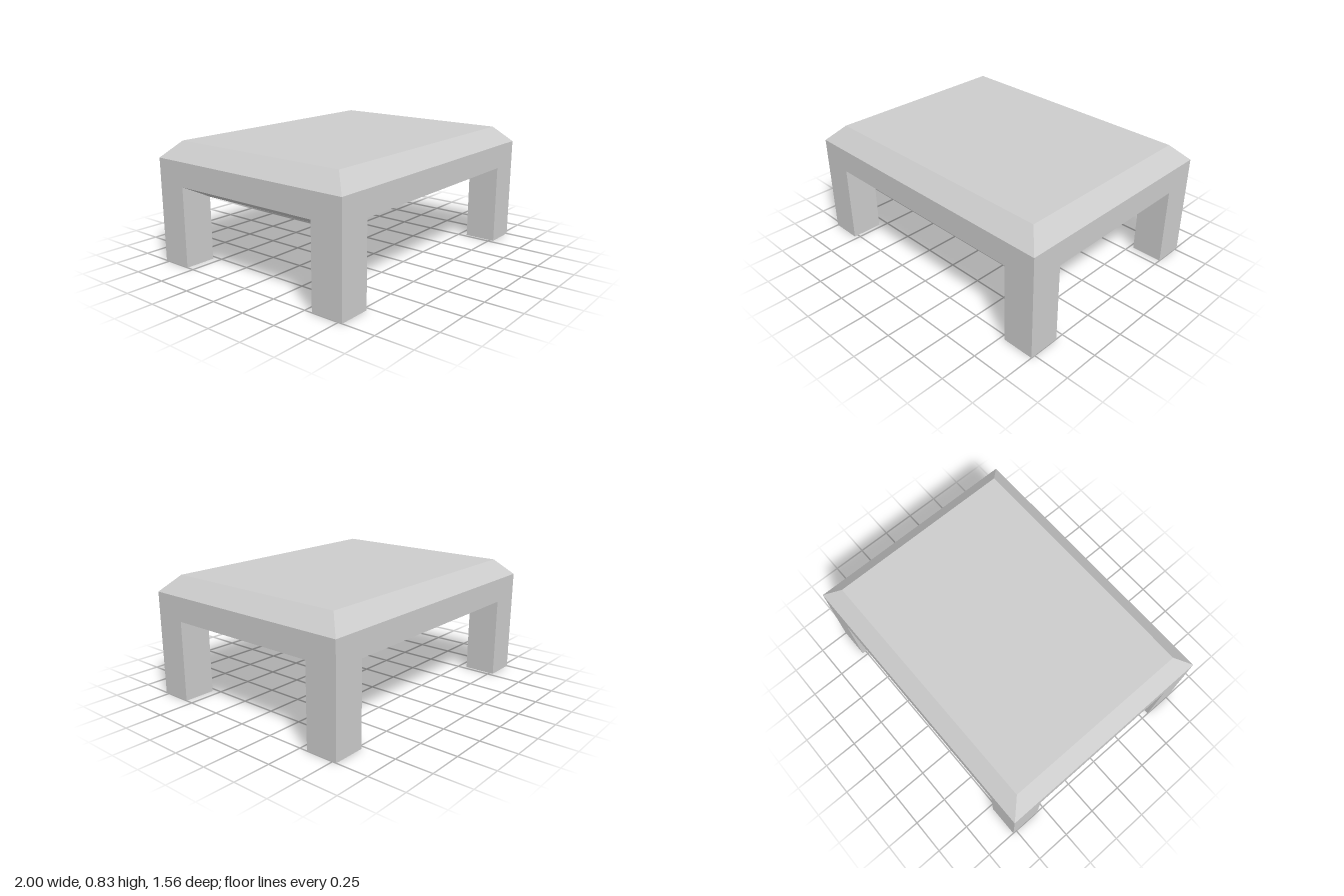
import * as THREE from 'three';

const UNIT = 1 / 9; // every measure is a multiple of this
const grey = new THREE.MeshStandardMaterial({ color: 0xcccccc, side: THREE.DoubleSide });
grey.name = 'plain grey';

// Flat-shaded mesh from four-cornered faces, corners counterclockwise from outside
function quadMesh(name, quads) {
  const points = quads.flatMap(([a, b, c, d]) => [a, b, c, a, c, d]).flat();
  const geometry = new THREE.BufferGeometry();
  geometry.setAttribute('position', new THREE.Float32BufferAttribute(points.map((v) => v * UNIT), 3));
  geometry.computeVertexNormals();
  const mesh = new THREE.Mesh(geometry, grey);
  mesh.name = name;
  return mesh;
}

// Rectangle at height y, corners counterclockwise seen from above
const ring = (x, z, y) => [[-x, y, z], [x, y, z], [x, y, -z], [-x, y, -z]];

// Four side faces joining two rectangles
function band(low, high) {
  return low.map((p, i) => {
    const j = (i + 1) % 4;
    return [p, low[j], high[j], high[i]];
  });
}

// Square hollow leg, open at the foot; its top follows the sloping underside
function leg(sx, sz) {
  const plan = [[7, 5, 4], [7, 7, 5], [9, 7, 5], [9, 5, 5]]; // x, z, top height
  const corners = plan.map(([x, z, top]) => [x * sx, z * sz, top]);
  if (sx * sz < 0) corners.reverse();
  const walls = corners.map(([x, z, top], i) => {
    const [x2, z2, top2] = corners[(i + 1) % 4];
    return [[x, 0, z], [x2, 0, z2], [x2, top2, z2], [x, top, z]];
  });
  return quadMesh((sz > 0 ? 'front' : 'back') + (sx > 0 ? 'Left' : 'Right') + 'Leg', walls);
}

export function createModel() {
  const model = new THREE.Group();
  model.name = 'table';

  // Tabletop outline from the underside up
  const under = ring(7, 5, 4);
  const rim = ring(9, 7, 5);
  const shoulder = ring(9, 7, 6.5);
  const top = ring(8, 6, 7.5);

  model.add(
    quadMesh('underside', [[...under].reverse(), ...band(under, rim)]),
    quadMesh('apron', band(rim, shoulder)),
    quadMesh('bevelledTop', [...band(shoulder, top), top]),
  );

  for (const sx of [-1, 1]) for (const sz of [-1, 1]) model.add(leg(sx, sz));
  return model;
}
